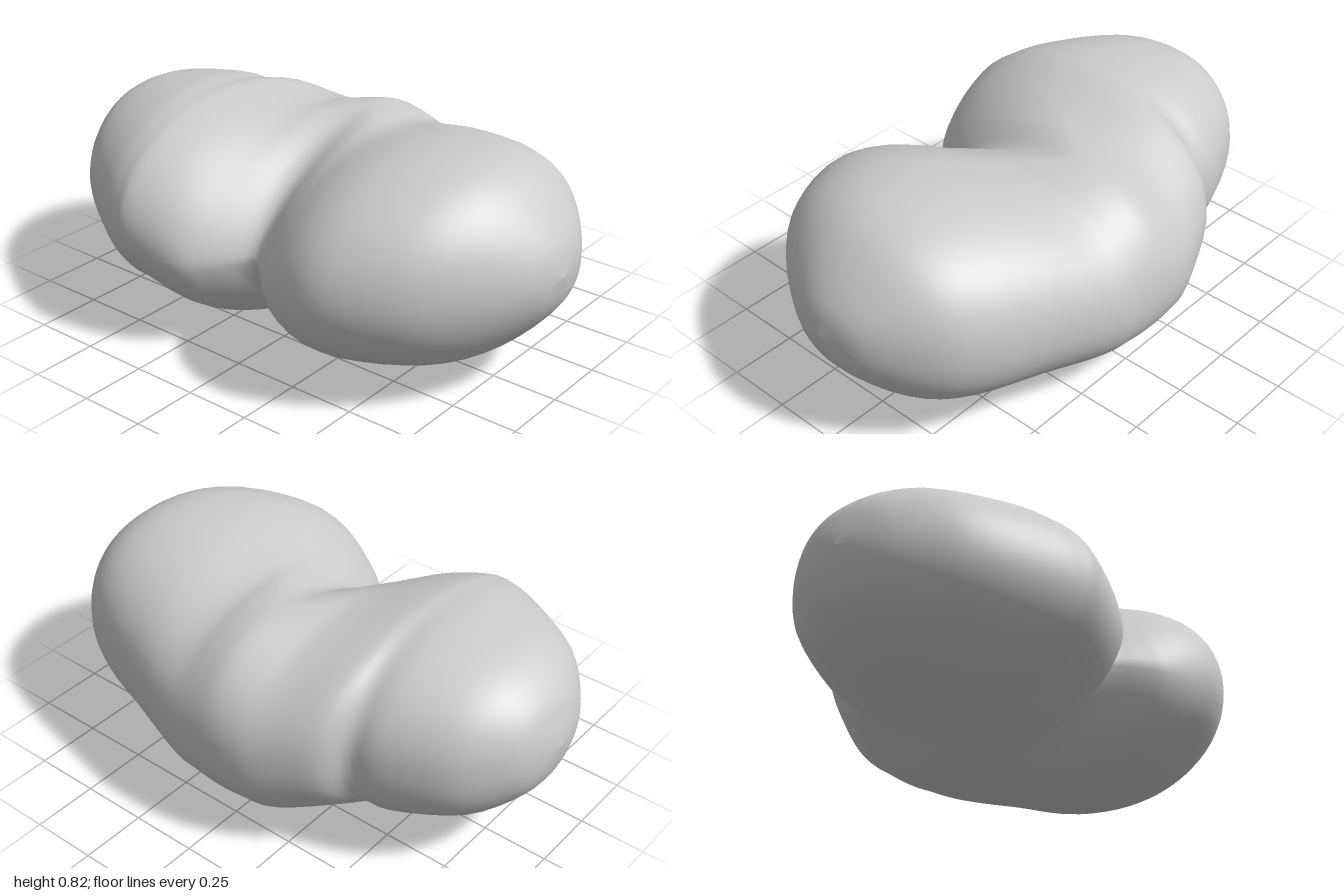
import * as THREE from 'three';

// Cross-sections from right to left: x, front z, back z, top y, bottom y
const SECTIONS = [
  [-1, 0.02, 0.02, 0.5, 0.5],
  [-0.98, 0.14, -0.11, 0.59, 0.39],
  [-0.93, 0.26, -0.21, 0.69, 0.3],
  [-0.8, 0.43, -0.345, 0.775, 0.19],
  [-0.58, 0.575, -0.435, 0.82, 0.105],
  [-0.47, 0.625, -0.45, 0.82, 0.09],
  [-0.39, 0.64, -0.54, 0.815, 0.085],
  [-0.2, 0.6, -0.62, 0.765, 0.008],
  [-0.1, 0.52, -0.64, 0.765, 0.006],
  [0, 0.41, -0.645, 0.77, 0.01],
  [0.1, 0.49, -0.64, 0.765, 0.015],
  [0.2, 0.565, -0.625, 0.76, 0.02],
  [0.42, 0.62, -0.56, 0.815, 0.048],
  [0.66, 0.52, -0.48, 0.82, 0.09],
  [0.82, 0.37, -0.38, 0.755, 0.175],
  [0.96, 0.15, -0.18, 0.6, 0.33],
  [1, 0, 0, 0.47, 0.47],
];

function sweepSections(sections, steps, around) {
  const width = sections[0].length;
  const spline = new THREE.CubicInterpolant(
    sections.map((_, i) => i), sections.flat(), width, new Float32Array(width));
  const rings = (sections.length - 1) * steps;
  const positions = [], indices = [];

  for (let i = 0; i <= rings; i++) {
    const [x, front, back, top, bottom] = spline.evaluate(i / steps);
    // The waist between the lobes: crest leans back, front is pinched
    const waist = 1 - THREE.MathUtils.smoothstep(Math.abs(x), 0, 0.3);
    const tip = (top + bottom) / 2 - 0.02 * (top - bottom);
    for (let j = 0; j < around; j++) {
      const angle = (j / around) * Math.PI * 2;
      const c = Math.cos(angle), s = Math.sin(angle);
      const middle = (front + back) / 2 + (s >= 0 ? -0.1 : 0.05) * waist;
      const power = c > 0 ? 1 + 0.35 * waist : 0.9;
      const reachZ = (c > 0 ? front : back) - middle;
      const reachY = (s > 0 ? top : bottom) - tip;
      positions.push(
        x,
        tip + Math.abs(s) ** power * reachY,
        middle + Math.abs(c) ** power * reachZ);
    }
  }

  for (let i = 0; i < rings; i++) {
    for (let j = 0; j < around; j++) {
      const a = i * around + j, b = i * around + (j + 1) % around;
      indices.push(a, a + around, b, b, a + around, b + around);
    }
  }

  const geometry = new THREE.BufferGeometry();
  geometry.setAttribute('position', new THREE.Float32BufferAttribute(positions, 3));
  geometry.setIndex(indices);
  geometry.computeVertexNormals();
  return geometry;
}

export function createModel() {
  const model = new THREE.Group();
  model.name = 'bean';

  // One smooth kidney-shaped body: two lobes joined by a pinched waist
  const body = new THREE.Mesh(
    sweepSections(SECTIONS, 4, 64),
    new THREE.MeshStandardMaterial({ color: 0xcccccc }));
  body.name = 'beanBody';
  model.add(body);
  return model;
}
